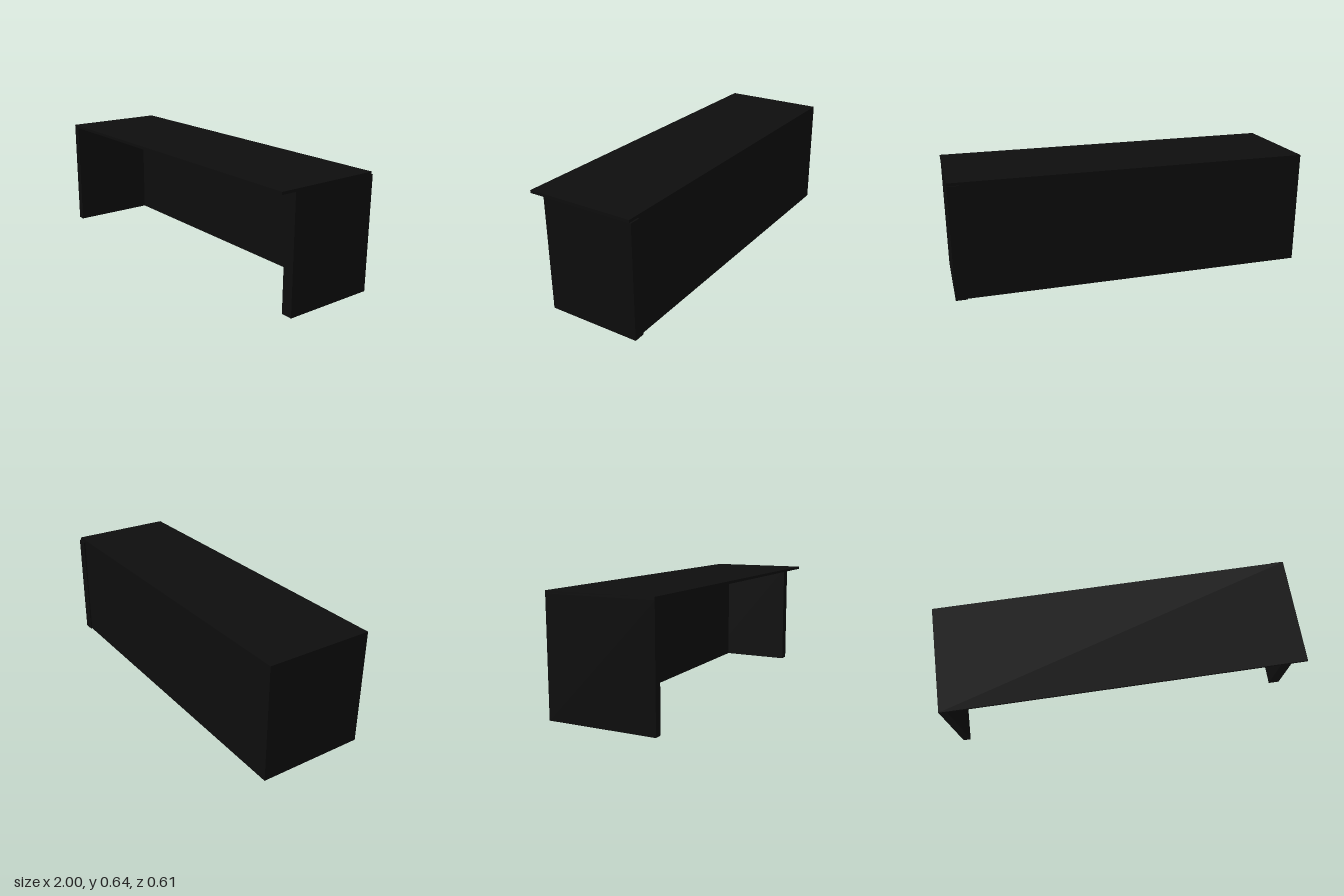
import * as THREE from 'three';

export function createModel() {
  const group = new THREE.Group();
  group.name = 'desk';
  const black = new THREE.MeshStandardMaterial({ color: 0x0d0d0d });
  black.name = 'matteBlack';

  // Board spanning the given min and max on each axis
  function board(name, [x0, x1], [y0, y1], [z0, z1]) {
    const mesh = new THREE.Mesh(new THREE.BoxGeometry(x1 - x0, y1 - y0, z1 - z0), black);
    mesh.position.set((x0 + x1) / 2, (y0 + y1) / 2, (z0 + z1) / 2);
    mesh.name = name;
    group.add(mesh);
  }

  const height = 0.645, under = 0.63; // top and underside of the worktop
  const back = -0.297, front = 0.306;

  // Thin worktop, overhanging the left panel at the front
  board('worktop', [-1, 1], [under, height], [back, front]);
  // Left panel is set back and stands slightly proud behind
  board('leftPanel', [0.937, 1], [0, under], [-0.306, 0.22]);
  // Right panel runs the full depth
  board('rightPanel', [-1, -0.957], [0, under], [back, front]);
  // Thick back panel between the two sides
  board('backPanel', [-0.957, 0.937], [0, under], [back, -0.195]);

  return group;
}
